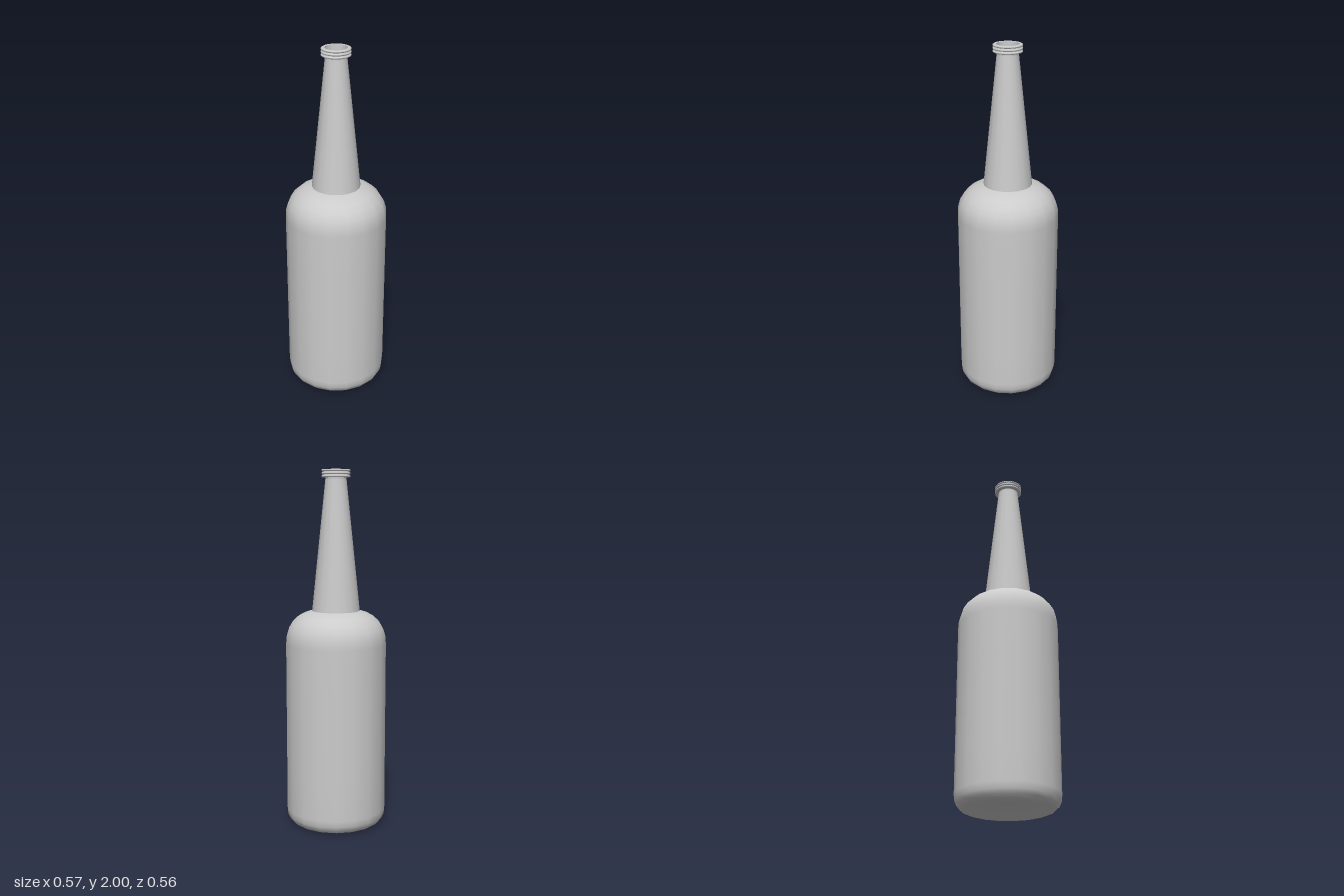
import * as THREE from 'three';

const SIDES = 18;
const material = new THREE.MeshStandardMaterial({ color: 0xcccccc, side: THREE.DoubleSide });

// Lathe of [radius, height] points with a corner on the +x axis
function turned(name, profile) {
  const points = profile.map(([r, y]) => new THREE.Vector2(r, y));
  const mesh = new THREE.Mesh(new THREE.LatheGeometry(points, SIDES, Math.PI / 2), material);
  mesh.name = name;
  return mesh;
}

export function createModel() {
  const bottle = new THREE.Group();
  bottle.name = 'bottle';

  // Hollow underside, pushed up towards the middle
  bottle.add(turned('base', [[0, 0.06], [0.08, 0.053], [0.15, 0.035], [0.2, 0.012], [0.215, 0.003], [0.228, 0]]));

  // Straight body with rounded foot and shoulder
  bottle.add(turned('body', [
    [0.228, 0], [0.25, 0.008], [0.268, 0.025], [0.279, 0.05], [0.283, 0.085],
    [0.283, 0.3], [0.283, 0.8], [0.283, 1.04],
    [0.28, 1.085], [0.268, 1.125], [0.245, 1.163], [0.212, 1.193], [0.175, 1.213], [0.135, 1.225],
  ]));

  bottle.add(turned('neck', [[0.135, 1.225], [0.058, 1.956]]));

  // Mouth: stacked rings separated by narrow grooves
  const lip = new THREE.Group();
  lip.name = 'lip';
  lip.add(turned('lipUnderside', [[0.057, 1.956], [0.074, 1.956]]));
  [1.956, 1.972, 1.988].forEach((y, i) => {
    const top = y + 0.012;
    lip.add(turned('lipRing' + (i + 1), [[0.074, y], [0.08, y + 0.003], [0.08, top - 0.003], [0.075, top]]));
    if (i < 2) lip.add(turned('lipGroove' + (i + 1), [[0.075, top], [0.074, top + 0.004]]));
  });
  lip.add(turned('rim', [[0.075, 2], [0.061, 2]]));
  bottle.add(lip);

  // Inside of the mouth
  bottle.add(turned('mouthWall', [[0.061, 2], [0.059, 1.95], [0.059, 1.9]]));
  bottle.add(turned('mouthFloor', [[0.059, 1.9], [0, 1.9]]));

  return bottle;
}
